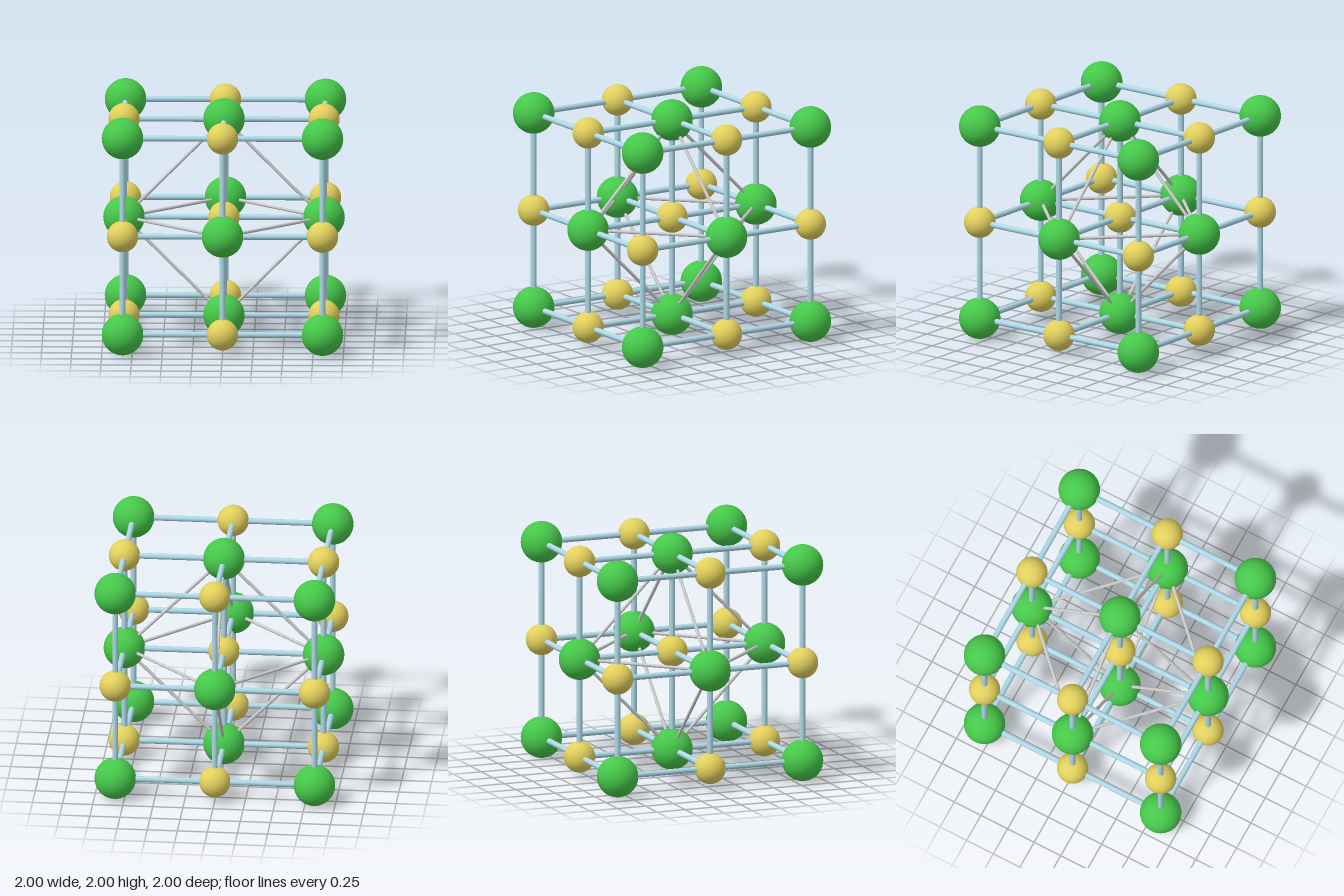
import * as THREE from 'three';

const STEP = 0.828; // spacing between neighbouring balls
const UP = new THREE.Vector3(0, 1, 0);

const paint = (color) => new THREE.MeshStandardMaterial({ color });

// Straight round rod joining two points
function rod(name, a, b, radius, material) {
  const dir = b.clone().sub(a);
  const mesh = new THREE.Mesh(new THREE.CylinderGeometry(radius, radius, dir.length(), 20), material);
  mesh.name = name;
  mesh.position.copy(a).add(b).multiplyScalar(0.5);
  mesh.quaternion.setFromUnitVectors(UP, dir.normalize());
  return mesh;
}

export function createModel() {
  const model = new THREE.Group();
  model.name = 'crystalLattice';
  const green = paint(0x46c84a);
  const yellow = paint(0xe2d05c);
  const blue = paint(0xadd8e6);
  const grey = paint(0xcccccc);

  const largeBall = new THREE.SphereGeometry(0.172, 40, 28);
  const smallBall = new THREE.SphereGeometry(0.13, 40, 28);
  const at = (i, j, k) => new THREE.Vector3(i * STEP, 1 + j * STEP, k * STEP);

  const balls = new THREE.Group();
  balls.name = 'balls';
  const bonds = new THREE.Group();
  bonds.name = 'bonds';
  const cage = new THREE.Group();
  cage.name = 'octahedronCage';
  model.add(balls, bonds, cage);

  // 3 x 3 x 3 lattice of alternating large and small balls
  for (let i = -1; i <= 1; i++)
    for (let j = -1; j <= 1; j++)
      for (let k = -1; k <= 1; k++) {
        const large = Math.abs(i + j + k) % 2 === 1;
        const ball = new THREE.Mesh(large ? largeBall : smallBall, large ? green : yellow);
        ball.name = large ? 'largeBall' : 'smallBall';
        ball.position.copy(at(i, j, k));
        balls.add(ball);

        // Rods to the next neighbour along each axis
        const p = at(i, j, k);
        if (i < 1) bonds.add(rod('bondX', p, at(i + 1, j, k), 0.024, blue));
        if (j < 1) bonds.add(rod('bondY', p, at(i, j + 1, k), 0.024, blue));
        if (k < 1) bonds.add(rod('bondZ', p, at(i, j, k + 1), 0.024, blue));
      }

  // Thin rods along the octahedron edges between face-centre balls
  for (const s of [-1, 1])
    for (const t of [-1, 1]) {
      cage.add(rod('cageRod', at(s, 0, 0), at(0, t, 0), 0.0135, grey));
      cage.add(rod('cageRod', at(0, s, 0), at(0, 0, t), 0.0135, grey));
      cage.add(rod('cageRod', at(0, 0, s), at(t, 0, 0), 0.0135, grey));
    }

  return model;
}
